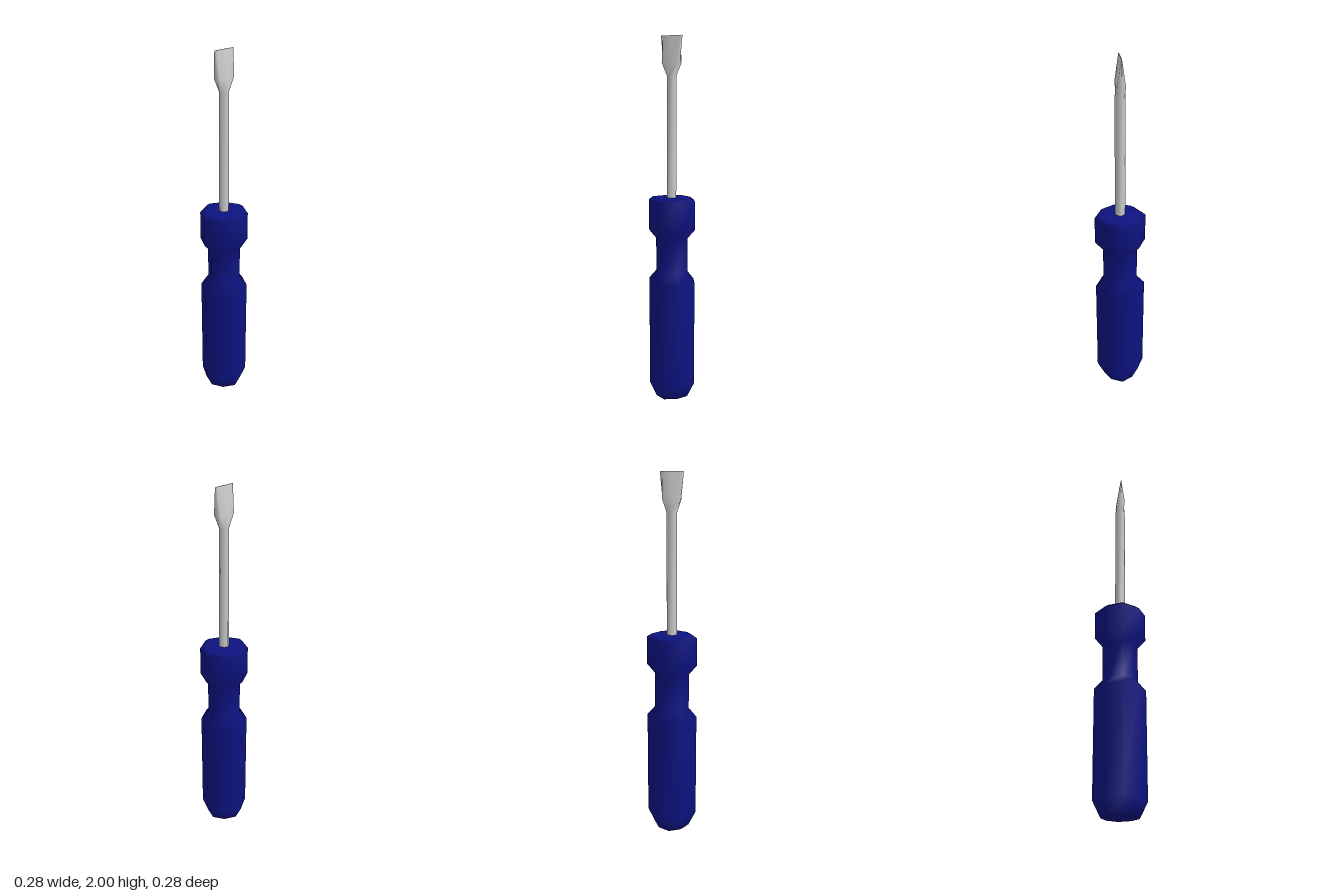
import * as THREE from 'three';

// Closed smooth loft through eight-sided rings.
// Each ring: y, side reach a (x), corner b (x) and c (z), front reach d (z).
function loft(rings) {
  const pos = [], idx = [], n = 8;
  for (const { y, a, b, c, d } of rings) {
    const loop = [[0, d], [b, c], [a, 0], [b, -c], [0, -d], [-b, -c], [-a, 0], [-b, c]];
    for (const [x, z] of loop) pos.push(x, y, z);
  }
  for (let r = 0; r < rings.length - 1; r++) {
    for (let i = 0; i < n; i++) {
      const p = r * n + i, q = r * n + (i + 1) % n;
      idx.push(p, q, q + n, p, q + n, p + n);
    }
  }
  // End caps
  const top = (rings.length - 1) * n, low = pos.length / 3;
  pos.push(0, rings[0].y, 0, 0, rings[rings.length - 1].y, 0);
  for (let i = 0; i < n; i++) {
    const j = (i + 1) % n;
    idx.push(low, j, i, low + 1, top + i, top + j);
  }
  const geo = new THREE.BufferGeometry();
  geo.setAttribute('position', new THREE.Float32BufferAttribute(pos, 3));
  geo.setIndex(idx);
  geo.computeVertexNormals();
  return geo;
}

// Octagon ring with slightly pulled-in diagonal corners
const octagon = (y, r) => ({ y, a: r, b: r * 0.655, c: r * 0.655, d: r });

export function createModel() {
  const group = new THREE.Group();
  group.name = 'screwdriver';

  // Grip with bevelled butt, narrow neck and collar
  const profile = [
    [0, 0.098], [0.085, 0.14], [0.67, 0.14], [0.72, 0.096],
    [0.915, 0.096], [0.965, 0.14], [1.12, 0.14], [1.137, 0.115],
  ];
  const handle = new THREE.Mesh(
    loft(profile.map(([y, r]) => octagon(y, r))),
    new THREE.MeshStandardMaterial({ color: 0x0d1380 })
  );
  handle.name = 'handle';

  // Round shaft that flares in x and thins in z to a flat tip
  const shaft = new THREE.Mesh(
    loft([
      octagon(1.1, 0.028),
      octagon(1.79, 0.028),
      { y: 1.86, a: 0.05, b: 0.048, c: 0.022, d: 0.023 },
      { y: 2, a: 0.063, b: 0.05, c: 0.002, d: 0.003 },
    ]),
    new THREE.MeshStandardMaterial({ color: 0xcccccc })
  );
  shaft.name = 'shaftAndBlade';

  group.add(handle, shaft);
  return group;
}
